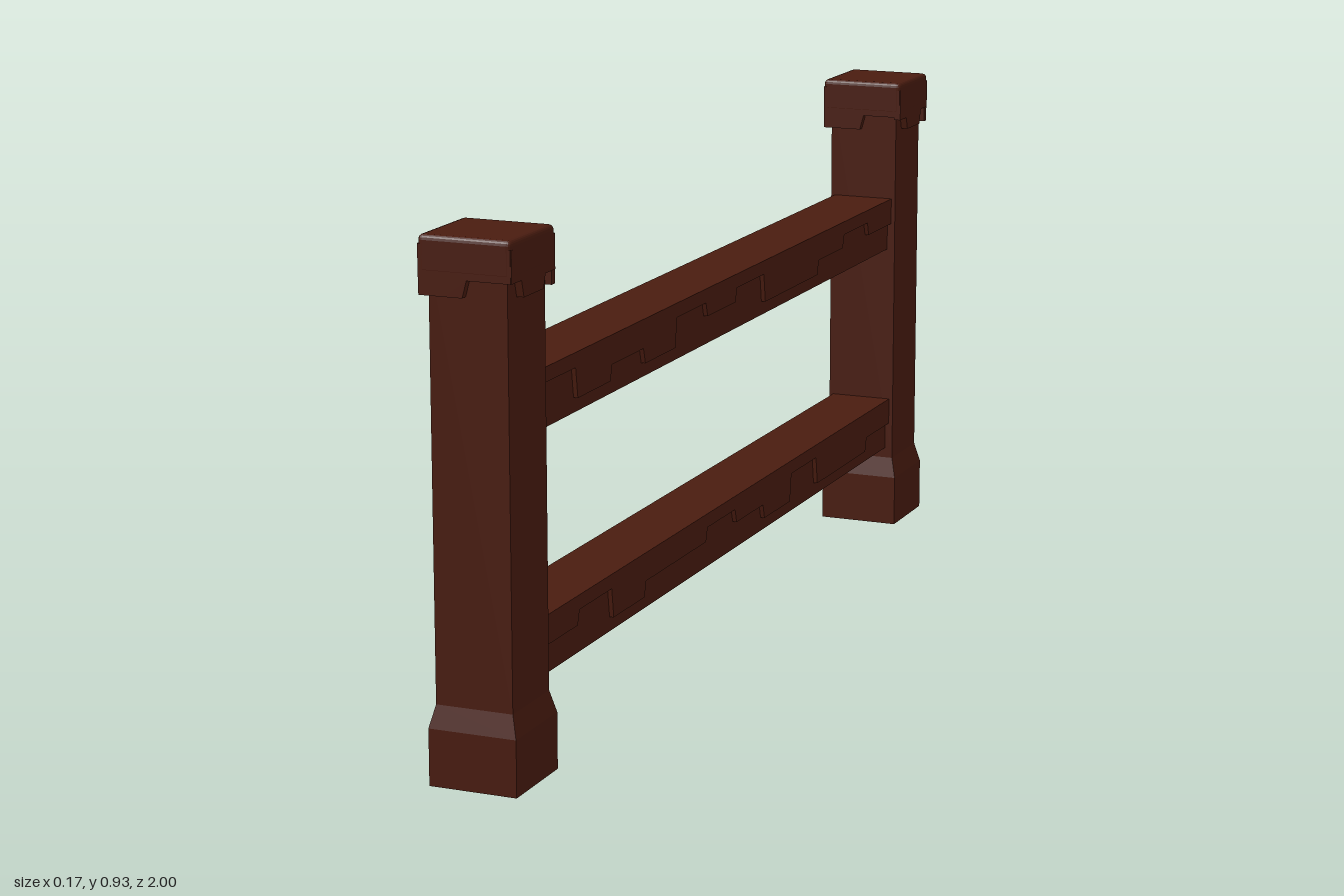
import * as THREE from 'three';
import { RoundedBoxGeometry } from 'three/addons/geometries/RoundedBoxGeometry.js';

const wood = new THREE.MeshStandardMaterial({ color: 0x4a1c10, flatShading: true });

function mesh(name, geometry, parent) {
  const m = new THREE.Mesh(geometry, wood);
  m.name = name;
  parent.add(m);
  return m;
}

// Flat plate with a straight top and a stepped lower edge, extruded and centred on its thickness
function steppedPlate(steps, halfLength, top, thickness) {
  const shape = new THREE.Shape();
  const w = (2 * halfLength) / steps.length;
  shape.moveTo(-halfLength, top);
  steps.forEach((y, i) => {
    const slantIn = i === 0 ? 0 : 0.004, slantOut = i === steps.length - 1 ? 0 : 0.004;
    shape.lineTo(-halfLength + i * w + slantIn, y);
    shape.lineTo(-halfLength + (i + 1) * w - slantOut, y);
  });
  shape.lineTo(halfLength, top);
  const g = new THREE.ExtrudeGeometry(shape, { depth: thickness, bevelEnabled: false });
  return g.translate(0, 0, -thickness / 2);
}

// Square post with a flared foot and a rounded cap with a stepped skirt
function makePost(name) {
  const post = new THREE.Group();
  post.name = name;
  const profile = [[0, 0], [0.08, 0], [0.08, 0.1], [0.07, 0.14], [0.07, 0.9], [0, 0.9]]
    .map(([r, y]) => new THREE.Vector2(r * Math.SQRT2, y));
  mesh('postShaft', new THREE.LatheGeometry(profile, 4, Math.PI / 4), post);

  mesh('capBlock', new RoundedBoxGeometry(0.167, 0.066, 0.167, 2, 0.009), post).position.y = 0.897;
  const skirts = [
    [0.831, 0.831, 0.86, 0.86],
    [0.86, 0.831, 0.831, 0.855],
    [0.831, 0.831, 0.86, 0.86],
    [0.855, 0.831, 0.831, 0.86],
  ];
  skirts.forEach((steps, i) => {
    const g = steppedPlate(steps, 0.082, 0.915, 0.013).translate(0, 0, 0.0768);
    mesh('capSkirt', g.rotateY(i * Math.PI / 2), post);
  });
  return post;
}

// Rail core below a slightly wider cover whose lower edge steps up and down
function makeRail(name, bottom, steps) {
  const rail = new THREE.Group();
  rail.name = name;
  mesh('railCore', new THREE.BoxGeometry(0.108, 0.095, 1.72), rail).position.y = 0.0475;
  const cover = steppedPlate(steps, 0.85, 0.106, 0.124).rotateY(-Math.PI / 2);
  mesh('railCover', cover, rail);
  rail.position.y = bottom;
  return rail;
}

export function createModel() {
  const fence = new THREE.Group();
  fence.name = 'fence';

  const front = makePost('frontPost');
  front.position.z = 0.9165;
  const back = makePost('backPost');
  back.position.z = -0.9165;
  back.rotation.y = Math.PI;
  fence.add(front, back);

  // Step heights run from the back to the front
  const lo = 0.026, mid = 0.054, hi = 0.08;
  fence.add(
    makeRail('upperRail', 0.583, [mid, hi, mid, lo, lo, hi, mid, hi, lo, mid, lo, hi]),
    makeRail('lowerRail', 0.16, [mid, lo, lo, hi, lo, mid, hi, mid, mid, lo, hi, mid]),
  );
  return fence;
}
